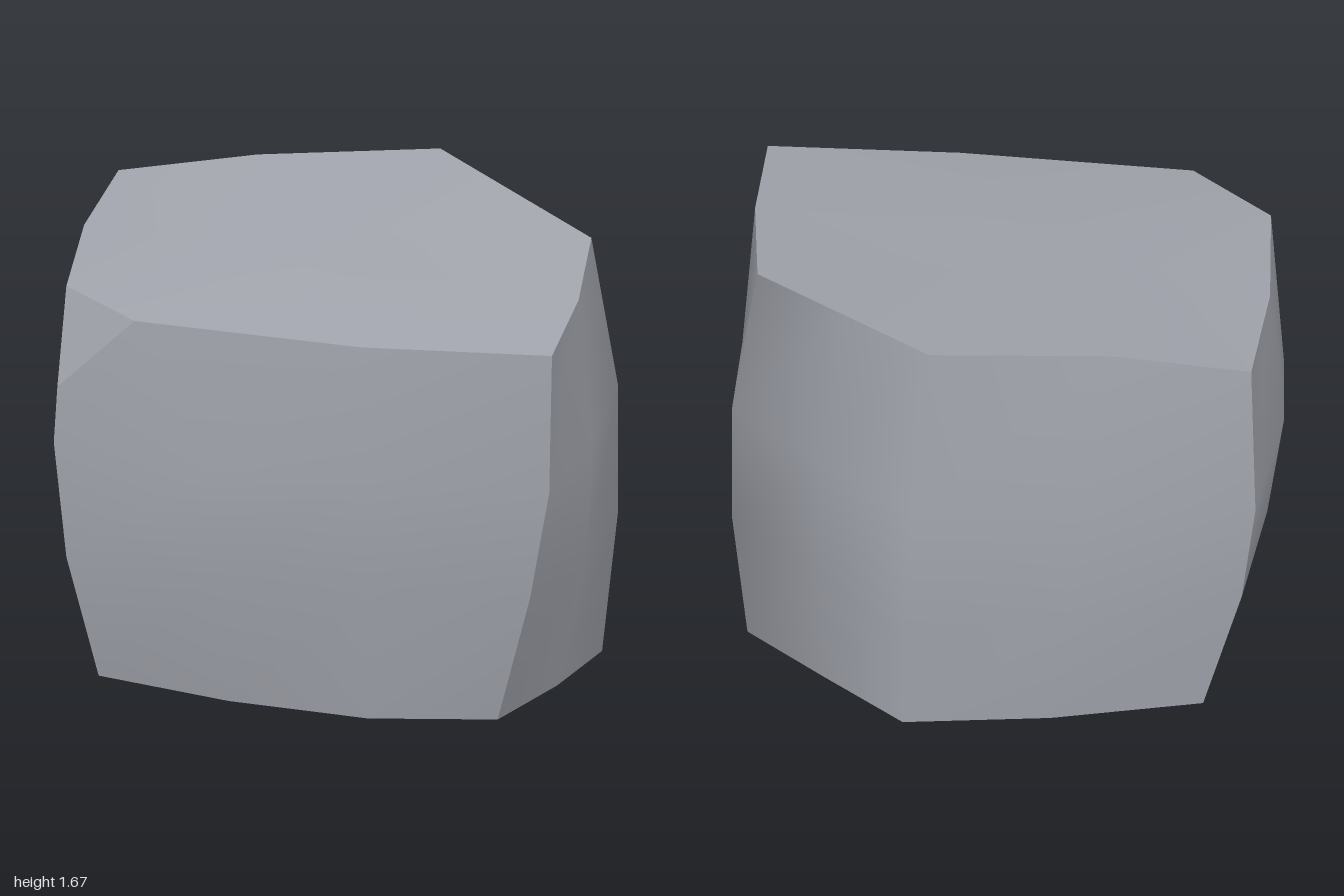
import * as THREE from 'three';

// Upright edges and cross-sections of the boulder, each listed from top to bottom
const frontRight = [[1, 1.4, 0.73], [0.99, 0.9, 0.73], [0.91, 0.5, 0.7], [0.77, 0.03, 0.63]];
const frontLeft = [[-0.78, 1.17, 0.84], [-0.79, 0.97, 0.85], [-0.75, 0.55, 0.83], [-0.65, 0.11, 0.77]];
const backEdge = [[-0.98, 1.57, -0.54], [-1, 1, -0.565], [-0.95, 0.62, -0.56], [-0.81, 0.14, -0.55]];

const front = [
  frontLeft,
  [[-0.5, 1.43, 0.83], [-0.2, 0.93, 0.885], [-0.2, 0.53, 0.885], [-0.17, 0.06, 0.78]],
  [[0.33, 1.4, 0.82], [0.35, 0.93, 0.84], [0.35, 0.53, 0.82], [0.33, 0.03, 0.75]],
  frontRight,
];
const wall = [
  frontRight,
  [[0.95, 1.47, 0.25], [0.985, 0.93, 0.2], [0.95, 0.5, 0.18], [0.84, 0.03, 0.15]],
  [[0.84, 1.55, -0.26], [0.92, 1, -0.32], [0.92, 0.55, -0.32], [0.87, 0.04, -0.29]],
  [[0.48, 1.61, -0.53], [0.55, 1.03, -0.61], [0.55, 0.55, -0.61], [0.54, 0.09, -0.58]],
  [[0.12, 1.67, -0.8], [0.17, 1.03, -0.885], [0.19, 0.55, -0.885], [0.2, 0.14, -0.87]],
  [[-0.5, 1.64, -0.64], [-0.41, 1.03, -0.75], [-0.37, 0.55, -0.75], [-0.3, 0.13, -0.73]],
  backEdge,
];
const side = [
  backEdge,
  [[-0.94, 1.52, 0], [-0.99, 1, 0], [-0.93, 0.6, 0], [-0.79, 0.12, 0]],
  [[-0.83, 1.46, 0.57], [-0.915, 0.97, 0.38], [-0.86, 0.57, 0.38], [-0.73, 0.11, 0.38]],
  frontLeft,
];

function surface(points, index) {
  const geometry = new THREE.BufferGeometry();
  geometry.setAttribute('position', new THREE.Float32BufferAttribute(points.flat(), 3));
  geometry.setIndex(index);
  geometry.computeVertexNormals();
  return geometry;
}

// Smooth skin across neighbouring cross-sections
function loft(columns) {
  const n = columns[0].length;
  const index = [];
  for (let i = 0; i < columns.length - 1; i++) {
    for (let j = 0; j < n - 1; j++) {
      const a = i * n + j;
      const b = a + n;
      index.push(a, a + 1, b, b, a + 1, b + 1);
    }
  }
  return surface(columns.flat(), index);
}

// Slightly domed cap around a centre point
function cap(centre, outline) {
  const index = outline.flatMap((_, i) => [0, i + 1, ((i + 1) % outline.length) + 1]);
  return surface([centre, ...outline], index);
}

export function createModel() {
  const stone = new THREE.MeshStandardMaterial({ color: 0xa0a3ab });
  stone.name = 'grey stone';
  const group = new THREE.Group();
  group.name = 'boulder';
  const add = (name, geometry) => {
    const mesh = new THREE.Mesh(geometry, stone);
    mesh.name = name;
    group.add(mesh);
  };

  // Upright faces: the right side and both back faces flow together
  add('frontFace', loft(front));
  add('roundedWall', loft(wall));
  add('sideFace', loft(side));

  // Top and bottom follow the ends of the cross-sections
  const top = [...front.slice(1), ...wall.slice(1), ...side.slice(1, 3)].map((c) => c[0]);
  const bottom = [...front, ...wall.slice(1), ...side.slice(1, 3)].map((c) => c[3]);
  add('topFace', cap([-0.1, 1.535, 0.2], top));
  add('bottomFace', cap([0.2, 0, 0.18], bottom.reverse()));

  // Broken corner
  add('chippedCorner', surface([frontLeft[0], front[1][0], side[2][0]], [0, 1, 2]));
  return group;
}
